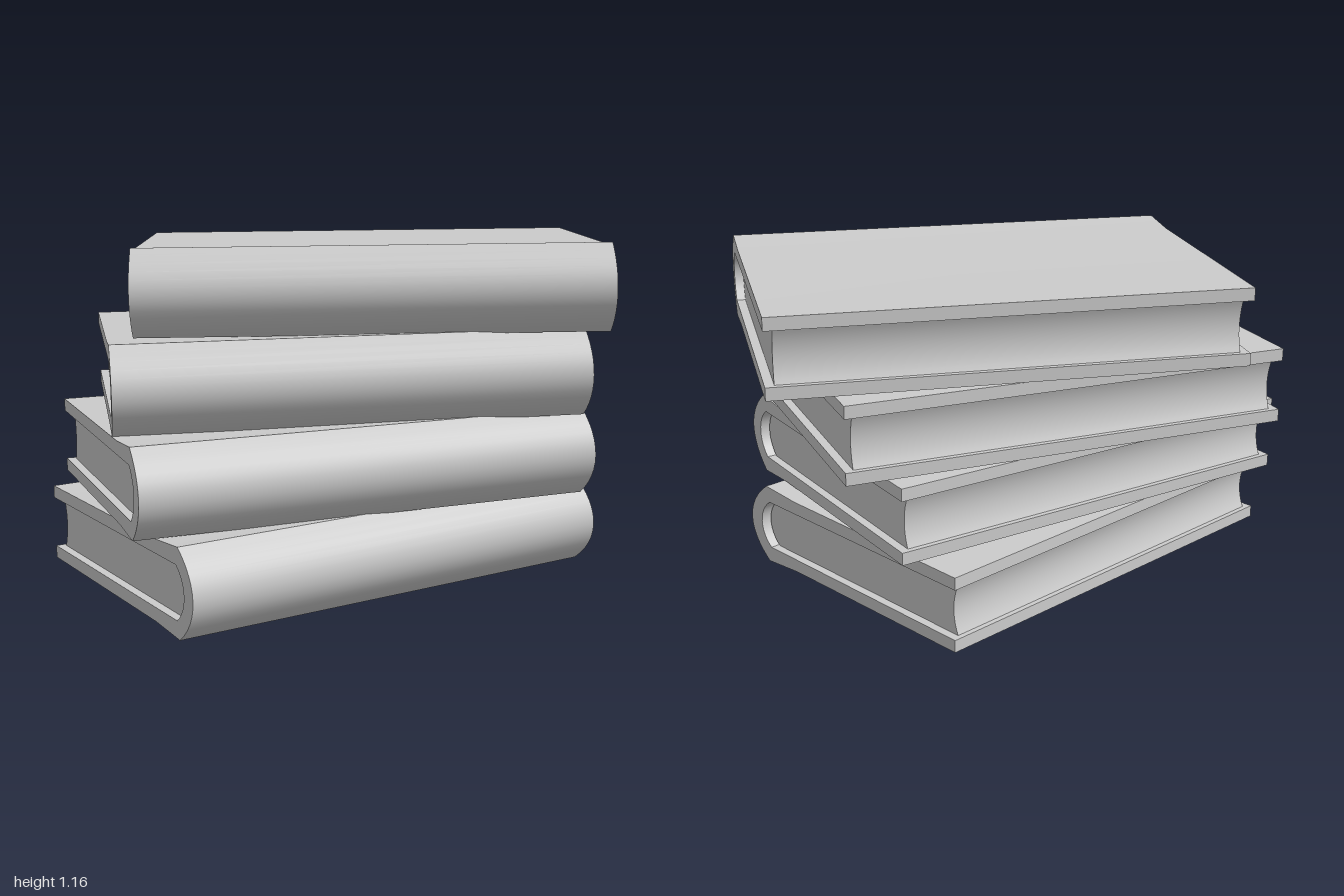
import * as THREE from 'three';
import { toCreasedNormals } from 'three/addons/utils/BufferGeometryUtils.js';

const LENGTH = 1.56;   // along the spine
const BACK = -0.54;    // fore edge of the covers
const RECESS = 0.03;   // pages set in from the cover ends
const CREASE = 0.55;

// Extrudes a (−z, y) cross-section along x, centred on x = 0
function extrudeAlongX(shape, length) {
  const geometry = new THREE.ExtrudeGeometry(shape, { depth: length, bevelEnabled: false, curveSegments: 12 });
  geometry.translate(0, 0, -length / 2);
  geometry.rotateY(Math.PI / 2);
  return toCreasedNormals(geometry, CREASE);
}

// Wrap-around cover: two boards joined by a rounded spine, slightly flared at the joint
function coverGeometry() {
  const s = new THREE.Shape();
  s.moveTo(-BACK, 0.131);
  s.lineTo(-0.28, 0.134);
  s.lineTo(-0.445, 0.146);
  s.bezierCurveTo(-0.572, 0.055, -0.572, -0.055, -0.445, -0.146);
  s.lineTo(-0.28, -0.134);
  s.lineTo(-BACK, -0.131);
  s.lineTo(-BACK, -0.088);
  s.lineTo(-0.43, -0.088);
  s.bezierCurveTo(-0.497, -0.04, -0.497, 0.04, -0.43, 0.088);
  s.lineTo(-BACK, 0.088);
  s.closePath();
  return extrudeAlongX(s, LENGTH);
}

// Page block: rounded at the spine, hollowed at the fore edge
function pagesGeometry() {
  const edge = -BACK - 0.018;
  const s = new THREE.Shape();
  s.moveTo(edge, 0.0885);
  s.lineTo(-0.42, 0.0885);
  s.bezierCurveTo(-0.485, 0.04, -0.485, -0.04, -0.42, -0.0885);
  s.lineTo(edge, -0.0885);
  s.quadraticCurveTo(edge - 0.04, 0, edge, 0.0885);
  return extrudeAlongX(s, LENGTH - 2 * RECESS);
}

export function createModel() {
  const model = new THREE.Group();
  model.name = 'bookStack';
  const material = new THREE.MeshStandardMaterial({ color: 0xcccccc });
  const cover = coverGeometry();
  const pages = pagesGeometry();

  // Each book, bottom to top: centre, turn about y, slight tilts
  const books = [
    { at: [-0.12, 0.157, 0.085], turn: 0.21, roll: 0.012, pitch: 0.005 },
    { at: [-0.13, 0.439, 0.09], turn: 0.023, roll: 0.009, pitch: 0 },
    { at: [-0.065, 0.72, 0.005], turn: -0.163, roll: 0.01, pitch: 0.002 },
    { at: [0.085, 1.005, -0.025], turn: -0.32, roll: 0.01, pitch: 0 },
  ];
  books.forEach(({ at, turn, roll, pitch }, i) => {
    const book = new THREE.Group();
    book.name = `book${i + 1}`;
    for (const [name, geometry] of [['cover', cover], ['pages', pages]]) {
      const mesh = new THREE.Mesh(geometry, material);
      mesh.name = name;
      book.add(mesh);
    }
    book.position.set(...at);
    book.rotation.set(pitch, turn, roll, 'YXZ');
    model.add(book);
  });
  return model;
}
